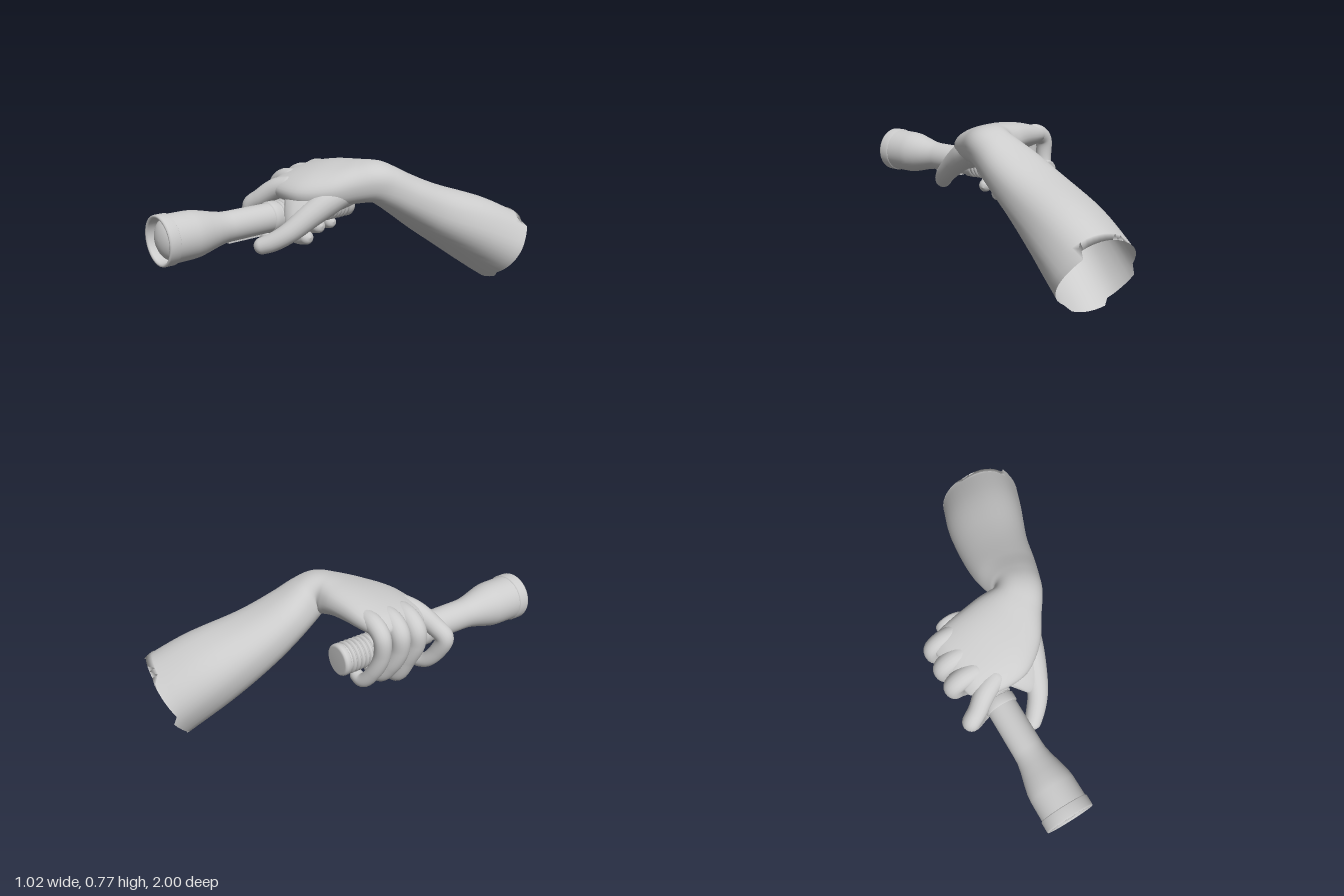
import * as THREE from 'three';
import { mergeVertices } from 'three/addons/utils/BufferGeometryUtils.js';

const V = (p) => new THREE.Vector3(p[0], p[1], p[2]);
const grey = new THREE.MeshStandardMaterial({ color: 0xcccccc, side: THREE.DoubleSide });
grey.name = 'light grey';

function add(parent, name, geometry) {
  const mesh = new THREE.Mesh(geometry, grey);
  mesh.name = name;
  parent.add(mesh);
  return mesh;
}

// Loft through cross-sections [edgeA, edgeB, halfThickness]; power < 1 makes them boxier.
// tear(angle) moves the points of the first ring along the loft.
function loft(sections, power, tear = () => 0) {
  const curveA = new THREE.CatmullRomCurve3(sections.map((s) => V(s[0])));
  const curveB = new THREE.CatmullRomCurve3(sections.map((s) => V(s[1])));
  const thick = new THREE.CatmullRomCurve3(sections.map((s, i) => new THREE.Vector3(i * 0.1, s[2], 0)));
  const rows = (sections.length - 1) * 6, segs = 40;
  const centre = (u) => curveA.getPoint(u).add(curveB.getPoint(u)).multiplyScalar(0.5);
  const pos = [], index = [];
  const round = (v) => Math.sign(v) * Math.pow(Math.abs(v), power);
  for (let i = 0; i <= rows; i++) {
    const u = i / rows;
    const tangent = centre(Math.min(1, u + 0.02)).sub(centre(Math.max(0, u - 0.02))).normalize();
    const c = centre(u);
    const half = curveB.getPoint(u).sub(curveA.getPoint(u)).multiplyScalar(0.5);
    const up = tangent.clone().cross(half).normalize().multiplyScalar(thick.getPoint(u).y);
    for (let j = 0; j < segs; j++) {
      const a = (j / segs) * Math.PI * 2;
      const p = c.clone().addScaledVector(half, round(Math.cos(a))).addScaledVector(up, round(Math.sin(a)));
      if (i === 0) p.addScaledVector(tangent, tear(a));
      pos.push(p.x, p.y, p.z);
      if (i < rows) {
        const k = (j + 1) % segs, r = i * segs, n = r + segs;
        index.push(r + j, r + k, n + j, r + k, n + k, n + j);
      }
    }
  }
  const g = new THREE.BufferGeometry();
  g.setAttribute('position', new THREE.Float32BufferAttribute(pos, 3));
  g.setIndex(index);
  g.computeVertexNormals();
  return g;
}

// Finger-like tube with a varying radius and rounded ends; points are [x, y, z, radius].
function digit(points) {
  const curve = new THREE.CatmullRomCurve3(points.map(V));
  const radii = new THREE.CatmullRomCurve3(points.map((p, i) => new THREE.Vector3(i * 0.1, p[3], 0)));
  const rows = 96, sides = 20;
  const g = new THREE.TubeGeometry(curve, rows, 1, sides);
  const pos = g.attributes.position, v = new THREE.Vector3();
  const length = curve.getLength();
  const tip = points[points.length - 1][3] / length, root = points[0][3] / length;
  for (let i = 0; i <= rows; i++) {
    const u = i / rows, c = curve.getPointAt(u);
    const e = Math.min(1, u / root, (1 - u) / tip);
    const r = radii.getPoint(curve.getUtoTmapping(u)).y * Math.sqrt(Math.max(0.0001, 1 - (1 - e) ** 2));
    for (let j = 0; j <= sides; j++) {
      const k = i * (sides + 1) + j;
      v.fromBufferAttribute(pos, k).sub(c).multiplyScalar(r).add(c);
      pos.setXYZ(k, v.x, v.y, v.z);
    }
  }
  g.deleteAttribute('uv');
  g.deleteAttribute('normal');
  const merged = mergeVertices(g, 1e-5);
  merged.computeVertexNormals();
  return merged;
}

// Turned part along z, from [radius, z] points
function turned(profile) {
  const g = new THREE.LatheGeometry(profile.map((p) => new THREE.Vector2(p[0], p[1])), 48);
  return g.rotateX(Math.PI / 2);
}

function makeTorch() {
  const torch = new THREE.Group();
  torch.name = 'flashlight';
  torch.position.set(-0.285, 0.473, 0);
  add(torch, 'barrel', turned([[0.074, -0.19], [0.076, 0.3], [0.08, 0.34], [0.081, 0.6], [0.083, 0.635],
    [0.092, 0.68], [0.108, 0.74], [0.12, 0.79], [0.124, 0.83], [0.125, 0.94]]));
  add(torch, 'headRim', turned([[0.125, 0.938], [0.131, 0.942], [0.131, 0.992], [0.128, 1], [0.119, 1], [0.114, 0.992], [0.113, 0.95]]));
  // Domed lens
  const dome = [];
  for (let i = 0; i <= 10; i++) {
    const a = (i / 10) * Math.PI / 2;
    dome.push([0.114 * Math.cos(a), 0.925 + 0.073 * Math.sin(a)]);
  }
  add(torch, 'lens', turned(dome));
  add(torch, 'collar', turned([[0.076, 0.295], [0.087, 0.3], [0.087, 0.342], [0.08, 0.348]]));
  add(torch, 'tailCap', turned([[0, -0.218], [0.07, -0.218], [0.08, -0.214], [0.084, -0.205], [0.084, -0.185], [0.076, -0.178]]));
  // Ribbed grip
  for (let i = 0; i < 18; i++) {
    const z = -0.158 + i * 0.0255;
    add(torch, 'gripRib', turned([[0.074, z - 0.011], [0.083, z - 0.007], [0.085, z], [0.083, z + 0.007], [0.074, z + 0.011]]));
  }
  add(torch, 'switchStrip', new THREE.BoxGeometry(0.04, 0.014, 0.2)).position.set(0, -0.081, 0.51);
  return torch;
}

export function createModel() {
  const model = new THREE.Group();
  model.name = 'handWithFlashlight';
  model.add(makeTorch());

  // Forearm, wrist and palm in one skin, with a torn open end
  const tear = (a) => {
    if (a > 0.4 && a < 1.7) return 0.08;
    if (a >= 1.7 && a < 2.7) return 0.04;
    return a > 3.7 && a < 4.8 ? -0.03 : 0;
  };
  add(model, 'forearmAndPalm', loft([
    [[0.085, 0.115, -0.925], [0.505, 0.295, -0.895], 0.2],
    [[-0.005, 0.3, -0.7], [0.43, 0.39, -0.68], 0.182],
    [[-0.05, 0.47, -0.46], [0.325, 0.485, -0.42], 0.145],
    [[-0.055, 0.585, -0.3], [0.262, 0.575, -0.23], 0.122],
    [[-0.035, 0.65, -0.2], [0.22, 0.635, -0.12], 0.114],
    [[-0.025, 0.685, -0.17], [0.18, 0.655, -0.03], 0.11],
    [[-0.06, 0.7, -0.165], [0.115, 0.64, 0.065], 0.106],
    [[-0.12, 0.71, -0.16], [0.03, 0.612, 0.19], 0.1],
    [[-0.22, 0.705, -0.145], [-0.1, 0.6, 0.285], 0.094],
    [[-0.32, 0.69, -0.13], [-0.24, 0.605, 0.3], 0.08],
    [[-0.4, 0.675, -0.11], [-0.34, 0.605, 0.28], 0.062],
    [[-0.445, 0.66, -0.085], [-0.4, 0.595, 0.24], 0.03],
    [[-0.455, 0.65, -0.07], [-0.415, 0.59, 0.22], 0.005],
  ], 0.87, tear));

  const hand = new THREE.Group();
  hand.name = 'digits';
  model.add(hand);

  // Fleshy web from the palm to the thumb
  add(hand, 'thumbWeb', loft([
    [[0.05, 0.66, -0.08], [0.09, 0.64, -0.02], 0.02],
    [[-0.01, 0.64, -0.05], [0.075, 0.605, 0.07], 0.06],
    [[-0.08, 0.64, 0.03], [0.015, 0.545, 0.18], 0.075],
    [[-0.13, 0.64, 0.13], [-0.035, 0.485, 0.28], 0.066],
    [[-0.18, 0.63, 0.21], [-0.08, 0.445, 0.34], 0.048],
    [[-0.23, 0.62, 0.25], [-0.125, 0.465, 0.345], 0.022],
    [[-0.245, 0.615, 0.26], [-0.145, 0.49, 0.335], 0.004],
  ], 0.95));

  add(hand, 'thumb', digit([[0.05, 0.635, 0.02, 0.05], [-0.005, 0.59, 0.135, 0.074], [-0.035, 0.525, 0.24, 0.067],
    [-0.08, 0.435, 0.36, 0.055], [-0.135, 0.385, 0.43, 0.05], [-0.205, 0.352, 0.495, 0.042]]));

  add(hand, 'indexFinger', digit([[-0.2, 0.64, 0.2, 0.06], [-0.32, 0.615, 0.255, 0.058], [-0.405, 0.555, 0.31, 0.05],
    [-0.46, 0.505, 0.335, 0.048], [-0.435, 0.42, 0.32, 0.044], [-0.38, 0.345, 0.29, 0.04], [-0.3, 0.32, 0.265, 0.037]]));

  // Three fingers curl the same way: [name, knuckle z, tip z, radius, drop at the tip, tip x]
  for (const [name, z, tipZ, r, drop, tipX] of [
    ['middleFinger', 0.15, 0.11, 0.053, 0.025, -0.215],
    ['ringFinger', 0.045, 0, 0.053, -0.015, -0.245],
    ['littleFinger', -0.065, -0.11, 0.046, -0.015, -0.275],
  ]) {
    const y = 0.67 - 0.15 * (z + 0.065);
    add(hand, name, digit([[-0.27, y + 0.015, z, r * 1.05], [-0.385, y + 0.008, z, r * 1.06], [-0.447, y - 0.035, z, r],
      [-0.452, 0.53, z, r * 0.93], [-0.42, 0.43, (z + tipZ) / 2, r * 0.85],
      [-0.357, 0.34 - drop, tipZ, r * 0.8], [tipX, 0.352 - drop, tipZ, r * 0.74]]));
  }
  return model;
}
